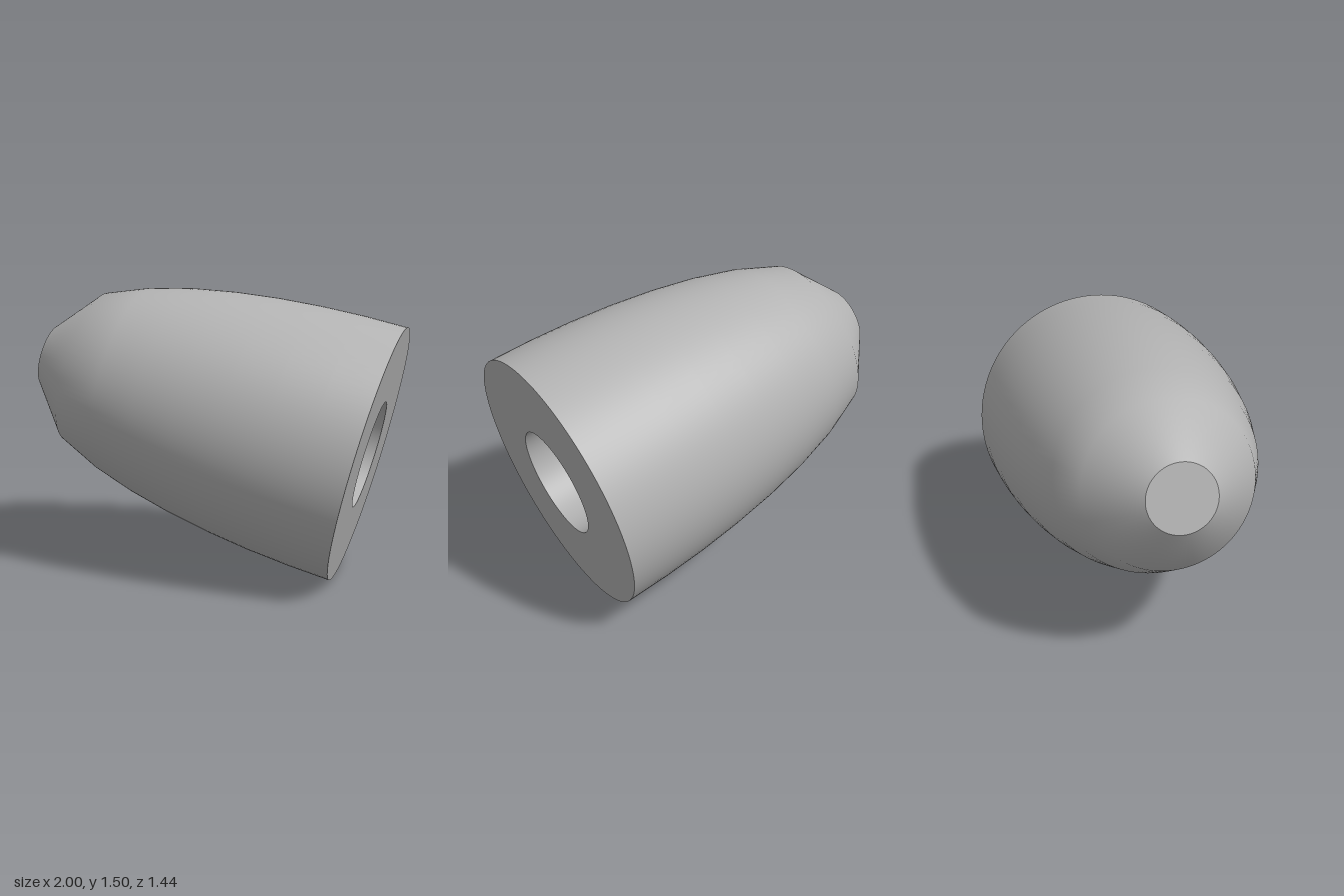
import * as THREE from 'three';

const SEGMENTS = 96;
const LENGTH = 1.832, RADIUS = 0.687;
const BORE_RADIUS = 0.287, BORE_DEPTH = 1.374;

export function createModel() {
  const grey = new THREE.MeshStandardMaterial({ color: 0xb3b3b3 });
  grey.name = 'plain grey';
  const model = new THREE.Group();
  model.name = 'boredNoseCone';

  // Each surface is its own lathe, so the edges between them stay sharp
  const addLathe = (name, points) => {
    const profile = points.map(([r, y]) => new THREE.Vector2(r, y));
    const mesh = new THREE.Mesh(new THREE.LatheGeometry(profile, SEGMENTS), grey);
    mesh.name = name;
    model.add(mesh);
  };

  // Elliptical shell in eight steps, ending in a small flat tip
  const shell = [];
  for (let i = 0; i <= 8; i++) {
    const u = i / 8;
    shell.push([RADIUS * (0.25 + 0.75 * Math.sqrt(1 - u * u)), u * LENGTH]);
  }
  addLathe('outerShell', shell);
  addLathe('flatTip', [[RADIUS * 0.25, LENGTH], [0, LENGTH]]);

  // Base ring and blind bore
  addLathe('baseRing', [[BORE_RADIUS, 0], [RADIUS, 0]]);
  addLathe('boreWall', [[BORE_RADIUS, BORE_DEPTH], [BORE_RADIUS, 0]]);
  addLathe('boreEnd', [[0, BORE_DEPTH], [BORE_RADIUS, BORE_DEPTH]]);

  // Lean the axis from the base centre towards the tip
  const axis = new THREE.Vector3(-0.955, 0.2445, -0.166).normalize();
  model.quaternion.setFromUnitVectors(new THREE.Vector3(0, 1, 0), axis);
  model.position.set(0.8, 0.667, 0.04);

  const root = new THREE.Group();
  root.name = 'model';
  root.add(model);
  return root;
}
